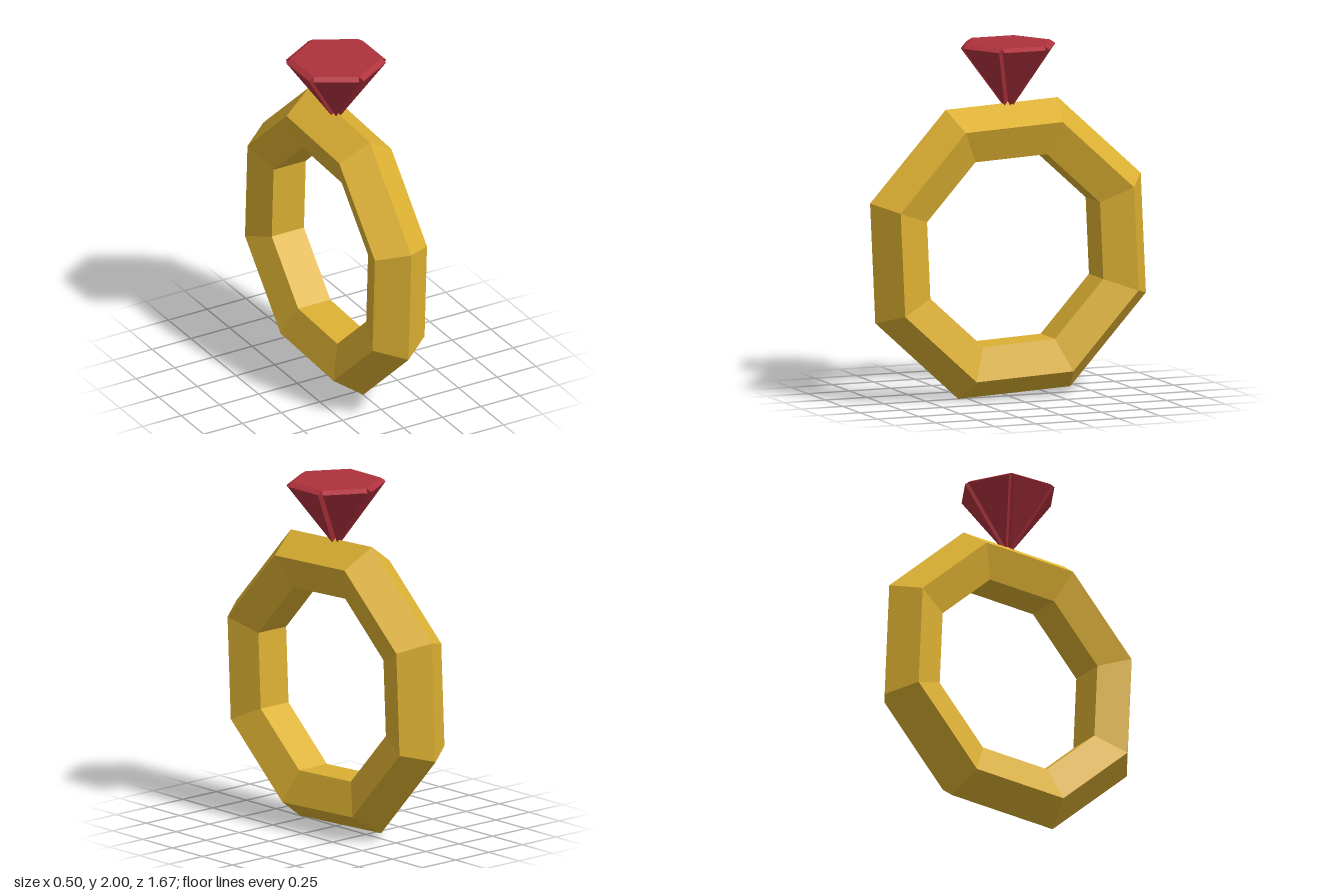
import * as THREE from 'three';

const gold = new THREE.MeshStandardMaterial({ color: 0xdcb032, flatShading: true });
gold.name = 'gold';
const ruby = new THREE.MeshStandardMaterial({ color: 0xae313c, flatShading: true });
ruby.name = 'ruby';

const TOP = 2, HEIGHT = 0.335, RADIUS = 0.254, RAISE = 0.036;

// Raised triangular facet: one side of the hexagonal cone pushed out along its normal
function facetGeometry() {
  const apothem = RADIUS * Math.cos(Math.PI / 6);
  const base = [
    new THREE.Vector3(-RADIUS / 2, TOP, apothem),
    new THREE.Vector3(0, TOP - HEIGHT, 0),
    new THREE.Vector3(RADIUS / 2, TOP, apothem),
  ];
  const offset = new THREE.Vector3(0, -apothem, HEIGHT).setLength(RAISE);
  const outer = base.map((p) => p.clone().add(offset));
  const points = [...outer];
  for (let i = 0; i < 3; i++) {
    const j = (i + 1) % 3;
    points.push(base[i], base[j], outer[j], base[i], outer[j], outer[i]);
  }
  const geometry = new THREE.BufferGeometry().setFromPoints(points);
  geometry.computeVertexNormals();
  return geometry;
}

export function createModel() {
  const model = new THREE.Group();
  model.name = 'ring';

  // Eight-sided band with a five-sided section, slightly turned
  const bandGeometry = new THREE.TorusGeometry(0.71, 0.177, 5, 8);
  bandGeometry.rotateZ(THREE.MathUtils.degToRad(19.85));
  bandGeometry.rotateY(-Math.PI / 2);
  const band = new THREE.Mesh(bandGeometry, gold);
  band.name = 'band';
  band.position.y = 0.837;
  model.add(band);

  // Gem: hexagonal core, point down, with six raised facets
  const gem = new THREE.Group();
  gem.name = 'gem';
  const coreGeometry = new THREE.ConeGeometry(RADIUS, HEIGHT, 6);
  coreGeometry.rotateX(Math.PI);
  const core = new THREE.Mesh(coreGeometry, ruby);
  core.name = 'gemCore';
  core.position.y = TOP - HEIGHT / 2;
  gem.add(core);

  const facet = facetGeometry();
  for (let i = 0; i < 6; i++) {
    const mesh = new THREE.Mesh(facet, ruby);
    mesh.name = 'gemFacet' + (i + 1);
    mesh.rotation.y = Math.PI / 6 + (i * Math.PI) / 3;
    gem.add(mesh);
  }
  model.add(gem);
  return model;
}
